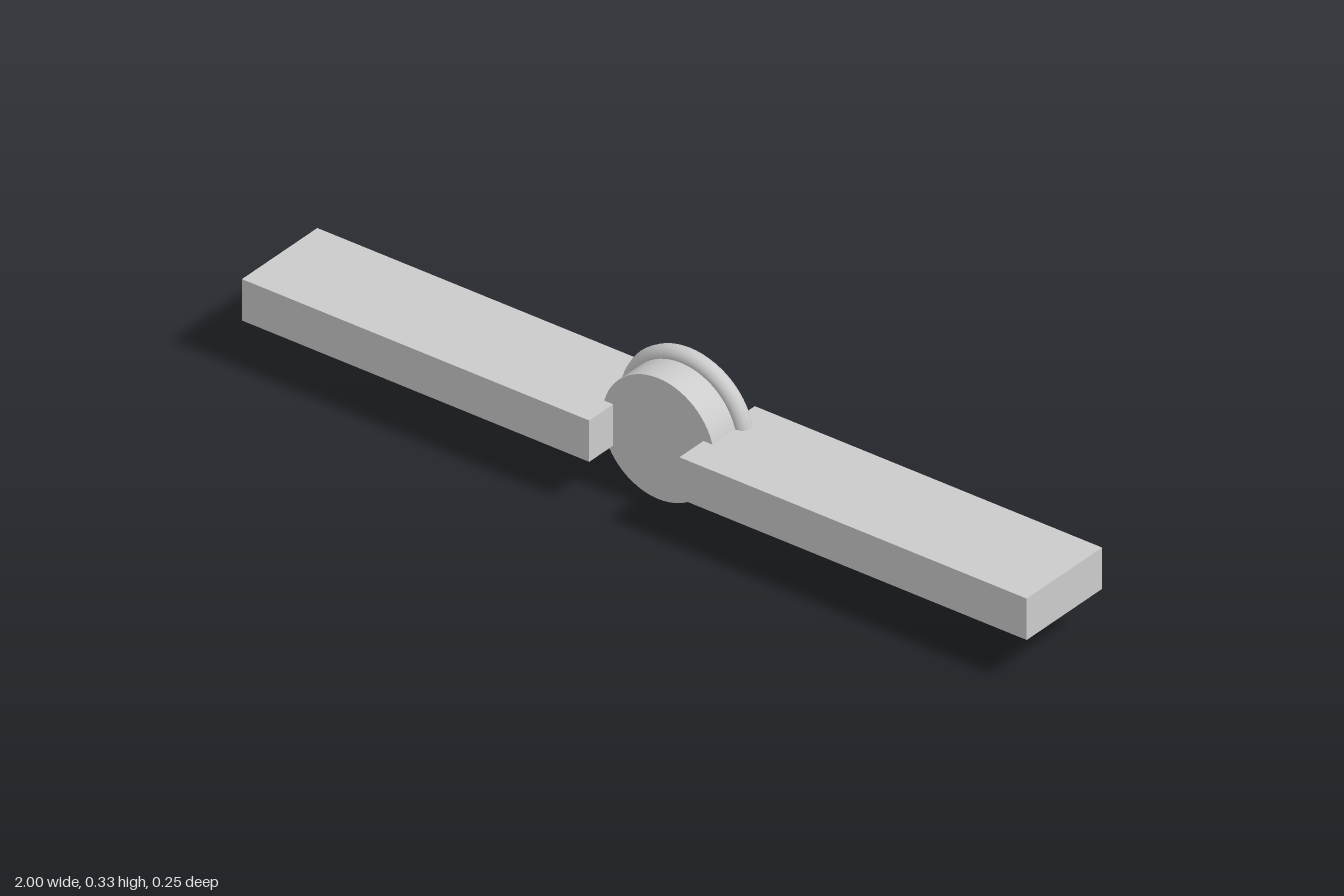
import * as THREE from 'three';

const CENTER_Y = 0.167;

export function createModel() {
  const model = new THREE.Group();
  const material = new THREE.MeshStandardMaterial({ color: 0xcccccc });

  const add = (name, geometry, x, y, z) => {
    const mesh = new THREE.Mesh(geometry, material);
    mesh.name = name;
    mesh.position.set(x, y, z);
    model.add(mesh);
    return mesh;
  };

  // Round part with its axis along z, spanning z0 to z1
  const disc = (name, radius, z0, z1) => {
    const geometry = new THREE.CylinderGeometry(radius, radius, z1 - z0, 64);
    geometry.rotateX(Math.PI / 2);
    return add(name, geometry, 0, CENTER_Y, (z0 + z1) / 2);
  };

  // Two straight strap halves, overlapping the sides of the case
  for (const side of [1, -1]) {
    add(side > 0 ? 'leftStrap' : 'rightStrap',
      new THREE.BoxGeometry(0.885, 0.098, 0.248), side * 0.5575, 0.156, 0);
  }

  // Watch case, bezel ring and dial; the dial faces the back
  disc('case', 0.143, -0.055, 0.045);
  add('bezel', new THREE.TorusGeometry(0.1455, 0.021, 12, 64), 0, CENTER_Y, -0.05);
  disc('dial', 0.117, -0.088, -0.05);

  // Hands and the block that holds them
  add('minuteHand', new THREE.BoxGeometry(0.012, 0.088, 0.01), 0, CENTER_Y + 0.044, -0.093);
  add('hourHand', new THREE.BoxGeometry(0.065, 0.012, 0.01), 0.0325, CENTER_Y, -0.093);
  add('handHub', new THREE.BoxGeometry(0.06, 0.035, 0.02), 0, CENTER_Y, -0.097);

  return model;
}
